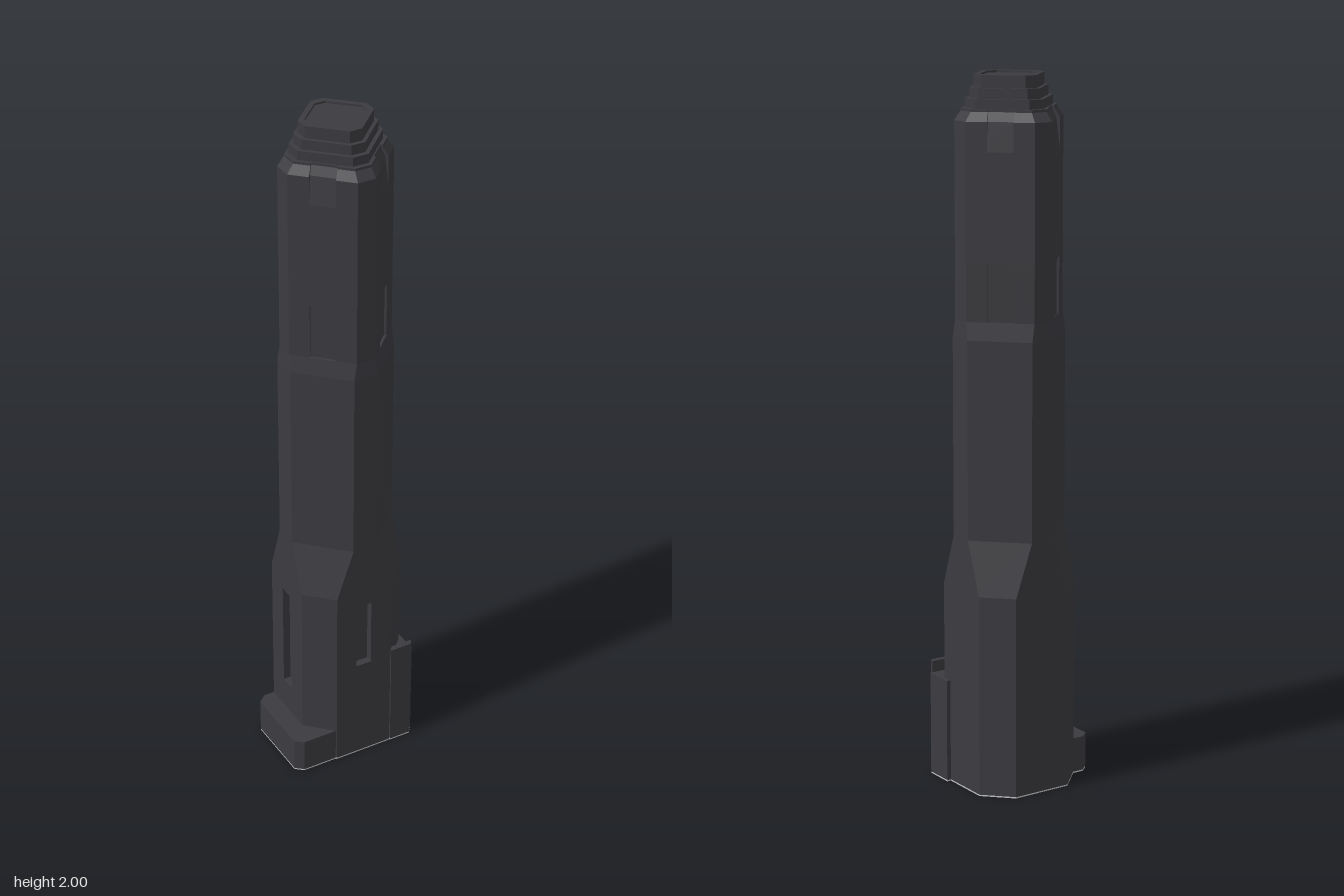
import * as THREE from 'three';

const dark = new THREE.MeshStandardMaterial({ color: 0x3c3b40 });
dark.name = 'charcoal cladding';
const grey = new THREE.MeshStandardMaterial({ color: 0xc8c8c8 });
grey.name = 'light grey underside';

// Octagon in plan: a = distance to the main faces, b = half their width.
// Even edges are main faces (0 = +x, 2 = +z, 4 = -x, 6 = -z), odd ones diagonals.
function octagon(a, b, notched = [], half = 0, depth = 0) {
  const c = [[a, -b], [a, b], [b, a], [-b, a], [-a, b], [-a, -b], [-b, -a], [b, -a]]
    .map(([x, z]) => new THREE.Vector2(x, z));
  const out = [];
  c.forEach((p, i) => {
    out.push(p);
    if (!notched.includes(i)) return;
    const q = c[(i + 1) % 8];
    const mid = p.clone().add(q).multiplyScalar(0.5);
    const along = q.clone().sub(p).normalize().multiplyScalar(half);
    const inward = new THREE.Vector2(-along.y, along.x).normalize().multiplyScalar(depth);
    const s = mid.clone().sub(along), e = mid.clone().add(along);
    out.push(s, s.clone().add(inward), e.clone().add(inward), e);
  });
  return out;
}

// Upright prism from a plan, with an optional hole
function prism(points, y0, y1, hole) {
  const shape = new THREE.Shape(points);
  if (hole) shape.holes.push(new THREE.Path(hole));
  return new THREE.ExtrudeGeometry(shape, { depth: y1 - y0, bevelEnabled: false })
    .rotateX(Math.PI / 2).translate(0, y1, 0);
}

// Sloping walls between two plans with matching points
function taper(low, high, y0, y1) {
  const pos = [];
  low.forEach((_, i) => {
    const j = (i + 1) % low.length;
    const A = [low[i].x, y0, low[i].y], B = [low[j].x, y0, low[j].y];
    const C = [high[i].x, y1, high[i].y], D = [high[j].x, y1, high[j].y];
    pos.push(...B, ...A, ...C, ...B, ...C, ...D);
  });
  const g = new THREE.BufferGeometry();
  g.setAttribute('position', new THREE.Float32BufferAttribute(pos, 3));
  g.computeVertexNormals();
  return g;
}

export function createModel() {
  const tower = new THREE.Group();
  tower.name = 'tower';
  tower.position.set(0.0065, 0, -0.02);
  tower.rotation.y = THREE.MathUtils.degToRad(21.6);
  const add = (name, geometry, material = dark) => {
    const m = new THREE.Mesh(geometry, material);
    m.name = name;
    tower.add(m);
  };
  const vec = list => list.map(([x, z]) => new THREE.Vector2(x, z));

  // Base with tall slots in two faces
  const base = [0.162, 0.088];
  const plain = octagon(...base);
  add('baseFoot', prism(plain, 0.004, 0.2));
  add('baseLowerSlot', prism(octagon(...base, [4], 0.024, 0.022), 0.2, 0.32));
  add('baseSlots', prism(octagon(...base, [2, 4], 0.024, 0.022), 0.32, 0.53));
  add('baseTop', prism(plain, 0.53, 0.58));

  // Middle shaft: the diagonals widen as the walls step in
  const middle = octagon(0.1625, 0.036);
  add('baseTaper', taper(plain, middle, 0.58, 0.73));
  add('middleShaft', prism(middle, 0.73, 1.29));

  // Upper shaft: recessed at its foot, with recesses deepening towards its head
  const diagonals = [1, 3, 5, 7];
  const upper = octagon(0.16, 0.027);
  const recess = depth => octagon(0.16, 0.027, diagonals, 0.036, depth);
  add('middleTaper', taper(middle, upper, 1.29, 1.34));
  add('upperShaftFoot', prism(recess(0.007), 1.34, 1.5));
  add('upperShaft', prism(upper, 1.5, 1.8));
  add('upperShaftHead', taper(recess(0), recess(0.01), 1.8, 1.88));

  // Crown: notched slope, stepped tiers and a rimmed roof
  const shoulder = octagon(0.141, 0.024, diagonals, 0.036, 0.006);
  add('crownSlope', taper(recess(0.01), shoulder, 1.88, 1.905));
  add('crownShoulder', prism(shoulder, 1.905, 1.912));
  [[0.128, 1.91, 1.938], [0.115, 1.938, 1.966], [0.092, 1.966, 1.994]].forEach(([a, y0, y1], i) =>
    add(['crownLowerTier', 'crownUpperTier', 'roofFloor'][i], prism(octagon(a, a * 0.18), y0, y1)));
  add('roofRim', prism(octagon(0.103, 0.0185), 1.966, 2, octagon(0.085, 0.0155)));

  // Low annex along one side; a taller one at the opposite corner with a raised front fin
  const lowPlan = vec([[-0.08, -0.09], [-0.08, 0.159], [-0.196, 0.159], [-0.219, 0.14], [-0.219, -0.068], [-0.194, -0.09]]);
  const sidePlan = vec([[0.08, 0.058], [0.174, 0.058], [0.174, 0.143], [0.165, 0.153], [0.08, 0.153]]);
  const finPlan = vec([[0.092, 0.146], [0.166, 0.146], [0.166, 0.152], [0.158, 0.163], [0.092, 0.163]]);
  add('lowAnnex', prism(lowPlan, 0.004, 0.105));
  add('sideAnnex', prism(sidePlan, 0.004, 0.3));
  add('annexFin', prism(finPlan, 0.004, 0.333));

  // Thin underside below every footprint
  [plain, lowPlan, sidePlan, finPlan].forEach(p => add('underside', prism(p, 0, 0.004), grey));

  const model = new THREE.Group();
  model.name = 'towerModel';
  model.add(tower);
  return model;
}
